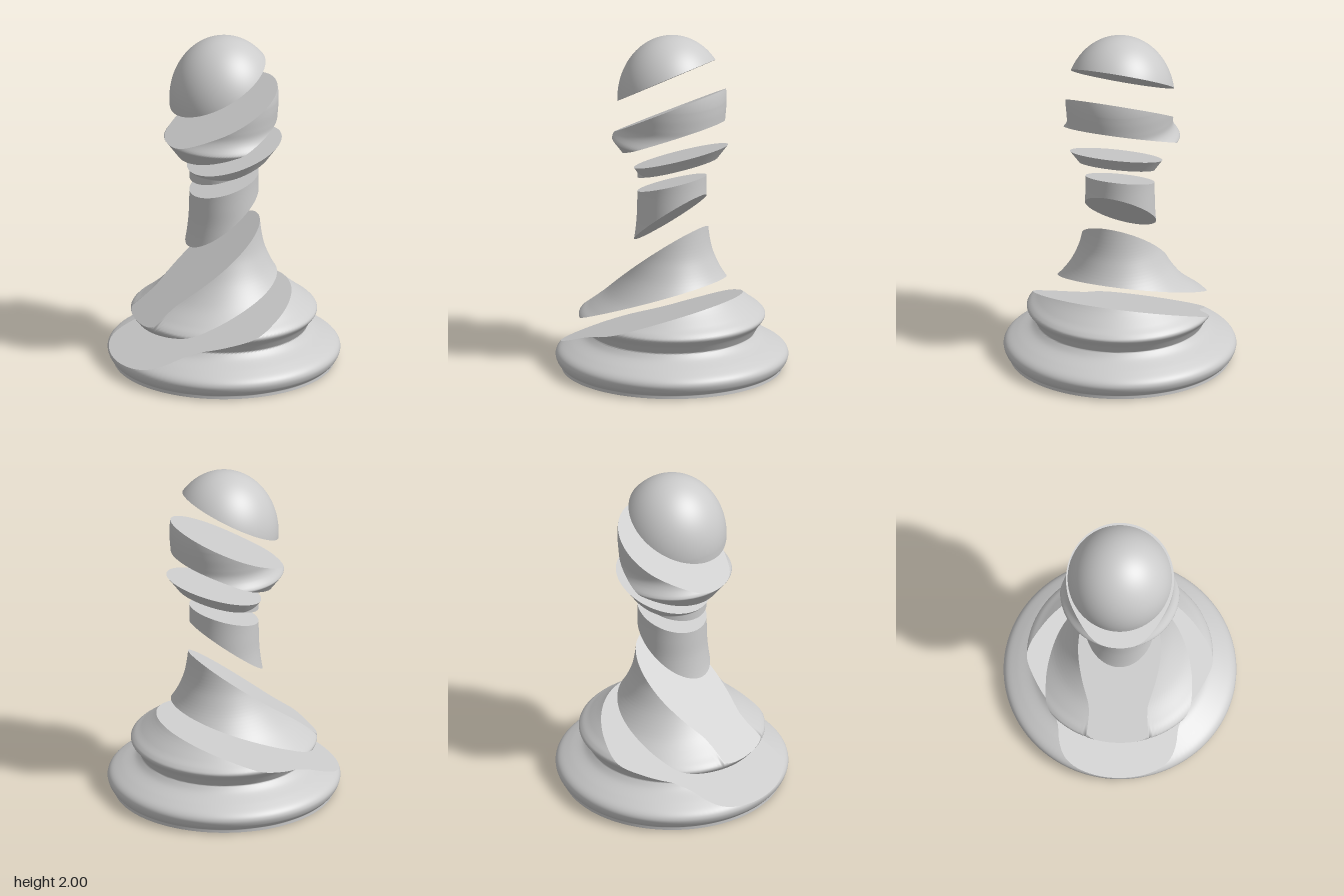
import * as THREE from 'three';

// Turned profile below the head, as (radius, height); each run is smooth, creases fall between runs
const runs = [
  [[0.64, 0], [0.64, 0.02]],
  [[0.648, 0.025], [0.667, 0.05], [0.675, 0.085], [0.655, 0.117], [0.6, 0.15], [0.52, 0.19], [0.482, 0.225]],
  [[0.482, 0.225], [0.51, 0.272], [0.54, 0.314], [0.525, 0.342], [0.475, 0.38], [0.383, 0.459],
    [0.303, 0.562], [0.253, 0.66], [0.225, 0.75], [0.207, 0.88], [0.202, 1.0], [0.2, 1.1], [0.202, 1.19]],
  [[0.212, 1.2], [0.275, 1.29], [0.34, 1.378]],
  [[0.34, 1.378], [0.348, 1.39], [0.342, 1.405]],
  [[0.342, 1.405], [0.319, 1.44], [0.308, 1.475], [0.31, 1.52], [0.315, 1.58], [0.317, 1.63]],
];
const profile = runs.flatMap(run =>
  new THREE.SplineCurve(run.map(p => new THREE.Vector2(...p))).getPoints(run.length * 5));

// Squared radius at a height: the head is a tall ellipsoid, the rest follows the profile
function radiusSq(y) {
  if (y >= 1.63) return 0.317 ** 2 * (1 - ((y - 1.63) / 0.37) ** 2);
  let i = 1;
  while (i < profile.length - 1 && profile[i].y < y) i++;
  const p = profile[i - 1], q = profile[i];
  const t = THREE.MathUtils.clamp((y - p.y) / Math.max(q.y - p.y, 1e-6), 0, 1);
  return (p.x + (q.x - p.x) * t) ** 2;
}
const radius = y => Math.sqrt(Math.max(0, radiusSq(y)));

// Height where the plane y = a + b * x meets the turned surface at a given angle
function cutHeight([a, b], cos) {
  let lo = 0, hi = 2;
  for (let k = 0; k < 40; k++) {
    const mid = (lo + hi) / 2;
    if (mid - a - b * radius(mid) * cos < 0) lo = mid; else hi = mid;
  }
  return (lo + hi) / 2;
}

// One slice of the turned body between two tilted planes, closed by flat cut faces
function sliceGeometry(lower, upper, rows, ease) {
  const cols = 128, e = 0.003;
  const pos = [], nor = [], idx = [], cuts = [];
  for (let i = 0; i <= cols; i++) {
    const angle = (i % cols) / cols * Math.PI * 2;
    const c = Math.cos(angle), s = Math.sin(angle);
    cuts.push({ c, s, y0: cutHeight(lower, c), y1: cutHeight(upper, c) });
  }
  // turned wall
  for (let j = 0; j <= rows; j++) {
    for (const { c, s, y0, y1 } of cuts) {
      const y = y0 + (y1 - y0) * ease(j / rows), r = radius(y);
      const slope = (radiusSq(y + e) - radiusSq(y - e)) / (4 * e);
      const n = new THREE.Vector3(r * c, -slope, r * s).normalize();
      pos.push(r * c, y, r * s);
      nor.push(n.x, n.y, n.z);
    }
  }
  const w = cols + 1;
  for (let j = 0; j < rows; j++) {
    for (let i = 0; i < cols; i++) {
      const a = j * w + i, b = a + 1, c = a + w, d = c + 1;
      idx.push(a, c, b, b, c, d);
    }
  }
  // flat cut faces
  for (const [plane, key, up] of [[lower, 'y0', -1], [upper, 'y1', 1]]) {
    const n = new THREE.Vector3(-plane[1], 1, 0).normalize().multiplyScalar(up);
    const centre = pos.length / 3;
    pos.push(0, plane[0], 0);
    nor.push(n.x, n.y, n.z);
    for (const cut of cuts) {
      const r = radius(cut[key]);
      pos.push(r * cut.c, cut[key], r * cut.s);
      nor.push(n.x, n.y, n.z);
    }
    for (let i = 1; i <= cols; i++) {
      if (up > 0) idx.push(centre, centre + i + 1, centre + i);
      else idx.push(centre, centre + i, centre + i + 1);
    }
  }
  const g = new THREE.BufferGeometry();
  g.setAttribute('position', new THREE.Float32BufferAttribute(pos, 3));
  g.setAttribute('normal', new THREE.Float32BufferAttribute(nor, 3));
  g.setIndex(idx);
  return g;
}

export function createModel() {
  const group = new THREE.Group();
  const material = new THREE.MeshStandardMaterial({ color: 0xcccccc });
  const linear = t => t;
  const towardPole = t => Math.sin(t * Math.PI / 2);
  // name, lower plane [height, slope], upper plane, rows
  const slices = [
    ['base', [0, 0], [0.325, 0.352], 80],
    ['skirt', [0.455, 0.353], [0.72, 0.768], 50],
    ['stem', [0.915, 0.774], [1.115, 0.3], 24],
    ['lowerCollar', [1.202, 0.325], [1.269, 0.3225], 24],
    ['upperCollar', [1.396, 0.4], [1.56, 0.498], 40],
    ['head', [1.751, 0.544], [2, 0], 48, towardPole],
  ];
  for (const [name, lower, upper, rows, ease = linear] of slices) {
    const mesh = new THREE.Mesh(sliceGeometry(lower, upper, rows, ease), material);
    mesh.name = name;
    group.add(mesh);
  }
  return group;
}
